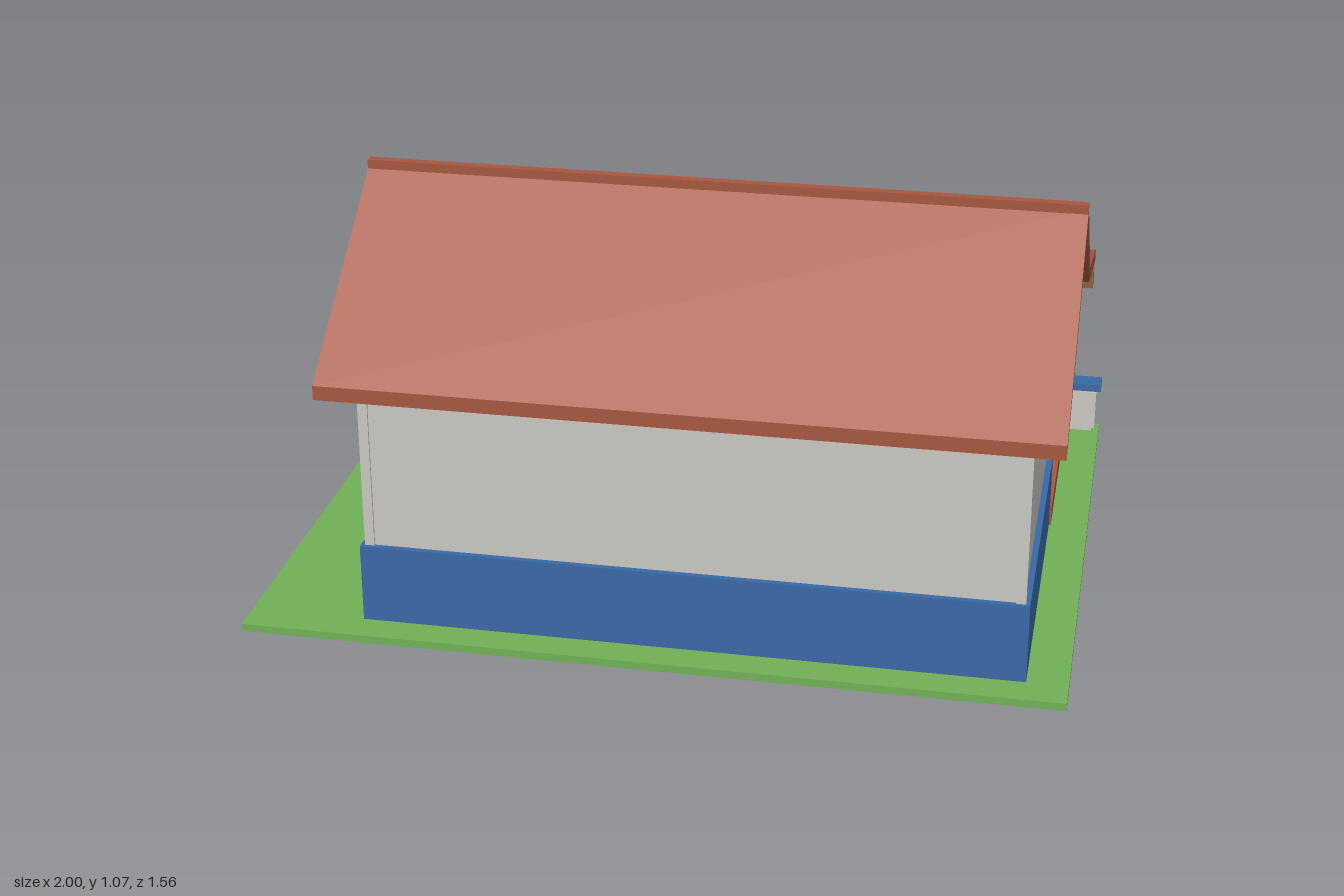
import * as THREE from 'three';

const mat = (name, color, extra = {}) => new THREE.MeshStandardMaterial({ name, color, ...extra });

export function createModel() {
  const M = {
    grass: mat('green', 0x70b056),
    blue: mat('blue', 0x3a69a6),
    wall: mat('plaster', 0xc8c7c0),
    roof: mat('terracotta', 0xa6573f),
    wood: mat('wood', 0x8a6139),
    bark: mat('bark', 0x68432a),
    glass: mat('glass', 0x24272d),
    pink: mat('pink', 0xd06c98),
    red: mat('red', 0xa02e34),
    yellow: mat('yellow', 0xd9a22c),
  };
  for (const m of Object.values(M)) m.flatShading = true;
  M.yellow.side = THREE.DoubleSide;

  const model = new THREE.Group();
  model.name = 'house';
  const group = (name, parent = model) => {
    const g = new THREE.Group();
    g.name = name;
    parent.add(g);
    return g;
  };
  const add = (name, geo, m, parent = model) => {
    const mesh = new THREE.Mesh(geo, m);
    mesh.name = name;
    parent.add(mesh);
    return mesh;
  };
  // box given by its ranges on x, y and z
  const box = (name, m, x0, x1, y0, y1, z0, z1, parent) => {
    const mesh = add(name, new THREE.BoxGeometry(x1 - x0, y1 - y0, z1 - z0), m, parent);
    mesh.position.set((x0 + x1) / 2, (y0 + y1) / 2, (z0 + z1) / 2);
    return mesh;
  };
  // side profile of [z, y] points swept from x0 to x1
  const sweep = (name, m, x0, x1, pts, parent) => {
    const shape = new THREE.Shape(pts.map(([z, y]) => new THREE.Vector2(-z, y)));
    const geo = new THREE.ExtrudeGeometry(shape, { depth: x1 - x0, bevelEnabled: false });
    geo.rotateY(Math.PI / 2).translate(x0, 0, 0);
    return add(name, geo, m, parent);
  };
  // icosahedron with a corner at the top
  const crown = (name, m, r, sy, x, y, z, parent) => {
    const geo = new THREE.IcosahedronGeometry(r, 0).rotateZ(Math.atan2(2, 1 + Math.sqrt(5)));
    geo.scale(1, sy, 1);
    add(name, geo, m, parent).position.set(x, y, z);
  };

  box('lawn', M.grass, -1, 1, 0, 0.02, -0.78, 0.78);

  // walls with gables, painted base, corner posts and eaves band
  const walls = group('walls');
  box('base', M.blue, -0.715, 0.9, 0.02, 0.22, -0.13, 0.7, walls);
  sweep('wallsAndGables', M.wall, -0.7, 0.885,
    [[0.685, 0.2], [0.685, 0.71], [0.28, 1.025], [-0.115, 0.725], [-0.115, 0.2]], walls);
  for (const x of [-0.693, 0.878])
    for (const z of [-0.108, 0.678])
      box('cornerPost', M.wall, x - 0.012, x + 0.012, 0.22, 0.7, z - 0.012, z + 0.012, walls);
  box('eavesBand', M.wall, -0.706, 0.891, 0.695, 0.712, -0.121, 0.69, walls);

  // roof with the shallower veranda slope
  sweep('roof', M.roof, -0.78, 0.965, [
    [0.78, 0.674], [0.28, 1.053], [-0.12, 0.752], [-0.575, 0.628],
    [-0.575, 0.595], [-0.12, 0.712], [0.28, 1.012], [0.78, 0.638],
  ]);
  box('ridgeCap', M.roof, -0.78, 0.965, 1.035, 1.065, 0.27, 0.294);

  // veranda: deck, step, posts, beam and railings
  const veranda = group('veranda');
  box('deck', M.roof, -0.725, 0.905, 0.02, 0.075, -0.605, -0.12, veranda);
  box('step', M.roof, 0.015, 0.325, 0.02, 0.05, -0.69, -0.605, veranda);
  const posts = [0.84, 0.36, -0.02, -0.65];
  for (const x of posts)
    box('post', M.wood, x - 0.025, x + 0.025, 0.075, 0.57, -0.54, -0.49, veranda);
  box('beam', M.wood, -0.78, 0.965, 0.548, 0.592, -0.537, -0.493, veranda);
  for (const [a, b] of [[0.36, 0.84], [-0.65, -0.02]]) {
    box('topRail', M.wood, a, b, 0.222, 0.25, -0.532, -0.498, veranda);
    const n = Math.round((b - a) / 0.09);
    for (let i = 1; i < n; i++) {
      const x = a + ((b - a) * i) / n;
      box('baluster', M.wood, x - 0.009, x + 0.009, 0.075, 0.225, -0.524, -0.506, veranda);
    }
  }

  // window built facing +z: closed blue panel at left, framed pane at right
  const addWindow = (x, z, turn) => {
    const w = group('window');
    const frame = new THREE.Shape([[-0.17, 0], [0.17, 0], [0.17, 0.31], [-0.17, 0.31]]
      .map((p) => new THREE.Vector2(...p)));
    frame.holes.push(new THREE.Path([[-0.14, 0.02], [-0.14, 0.28], [0.14, 0.28], [0.14, 0.02]]
      .map((p) => new THREE.Vector2(...p))));
    add('frame', new THREE.ExtrudeGeometry(frame, { depth: 0.022, bevelEnabled: false }), M.wall, w);
    box('sill', M.wall, -0.19, 0.19, -0.022, 0.004, 0, 0.045, w);
    box('pane', M.glass, -0.14, 0.14, 0.02, 0.28, 0.004, 0.012, w);
    box('panel', M.blue, -0.138, 0.0, 0.015, 0.282, 0.01, 0.033, w);
    box('sashSide', M.blue, 0.124, 0.138, 0.015, 0.282, 0.008, 0.026, w);
    for (const y of [0.015, 0.268]) box('sashRail', M.blue, 0, 0.138, y, y + 0.014, 0.008, 0.026, w);
    w.position.set(x, 0.242, z);
    w.rotation.y = turn;
  };
  addWindow(0.62, -0.117, Math.PI);
  addWindow(-0.27, -0.117, Math.PI);
  addWindow(-0.702, 0.305, -Math.PI / 2);

  // entrance door
  const door = group('door');
  for (const x of [0.035, 0.28]) box('doorJamb', M.wall, x, x + 0.025, 0.075, 0.55, -0.14, -0.11, door);
  box('doorHead', M.wall, 0.035, 0.305, 0.525, 0.55, -0.14, -0.11, door);
  box('doorLeaf', M.blue, 0.06, 0.28, 0.075, 0.525, -0.134, -0.11, door);

  // hammock sagging between two posts, with a blanket laid on it
  const sag = (u) => 0.28 + 0.23 * u * u;
  const sling = (name, m, half, n, z0, z1, lift, thick) => {
    const top = [], low = [];
    for (let i = 0; i <= n; i++) {
      const u = half * ((2 * i) / n - 1);
      top.push(new THREE.Vector2(-0.335 + 0.31 * u, sag(u) + lift + thick));
      low.unshift(new THREE.Vector2(-0.335 + 0.31 * u, sag(u) + lift));
    }
    const geo = new THREE.ExtrudeGeometry(new THREE.Shape([...top, ...low]),
      { depth: z1 - z0, bevelEnabled: false });
    add(name, geo.translate(0, 0, z0), m, hammock);
  };
  const hammock = group('hammock');
  sling('cloth', M.red, 1, 9, -0.52, -0.395, 0, 0.008);
  sling('blanket', M.yellow, 2 / 3, 6, -0.515, -0.4, 0.008, 0.004);

  // low garden chair
  const chair = group('chair');
  sweep('seat', M.wood, 0.57, 0.71, [[-0.25, 0.112], [-0.25, 0.098], [-0.385, 0.072], [-0.385, 0.086]], chair);
  for (let i = 0; i < 4; i++) {
    const x = 0.572 + i * 0.036;
    sweep('backSlat', M.wood, x, x + 0.028, [[-0.206, 0.32], [-0.218, 0.322], [-0.268, 0.1], [-0.254, 0.1]], chair);
  }
  for (const x of [0.56, 0.72]) {
    box('armrest', M.wood, x - 0.015, x + 0.015, 0.155, 0.17, -0.365, -0.245, chair);
    box('frontLeg', M.wood, x - 0.008, x + 0.008, 0.075, 0.157, -0.318, -0.305, chair);
    box('backLeg', M.wood, x - 0.008, x + 0.008, 0.075, 0.157, -0.262, -0.249, chair);
  }

  // potted bush
  const plant = group('pottedBush');
  add('pot', new THREE.CylinderGeometry(0.057, 0.04, 0.07, 8), M.roof, plant).position.set(0.82, 0.11, -0.203);
  crown('bush', M.grass, 0.068, 0.78, 0.82, 0.197, -0.203, plant);

  // blossoming tree
  const tree = group('tree');
  add('trunk', new THREE.CylinderGeometry(0.019, 0.022, 0.42, 6), M.bark, tree).position.set(-0.895, 0.23, -0.565);
  crown('blossom', M.pink, 0.092, 0.9, -0.895, 0.495, -0.565, tree);

  // garden wall on both sides of the entrance
  for (const [a, b] of [[-1, 0.03], [0.305, 1]]) {
    const fence = group('gardenWall');
    box('wallPanel', M.wall, a + 0.02, b - 0.02, 0.02, 0.146, -0.768, -0.732, fence);
    for (const x of [a + 0.012, b - 0.036])
      box('endPillar', M.wall, x, x + 0.024, 0.03, 0.14, -0.773, -0.727, fence);
    box('coping', M.blue, a, b, 0.146, 0.166, -0.78, -0.72, fence);
  }
  return model;
}
